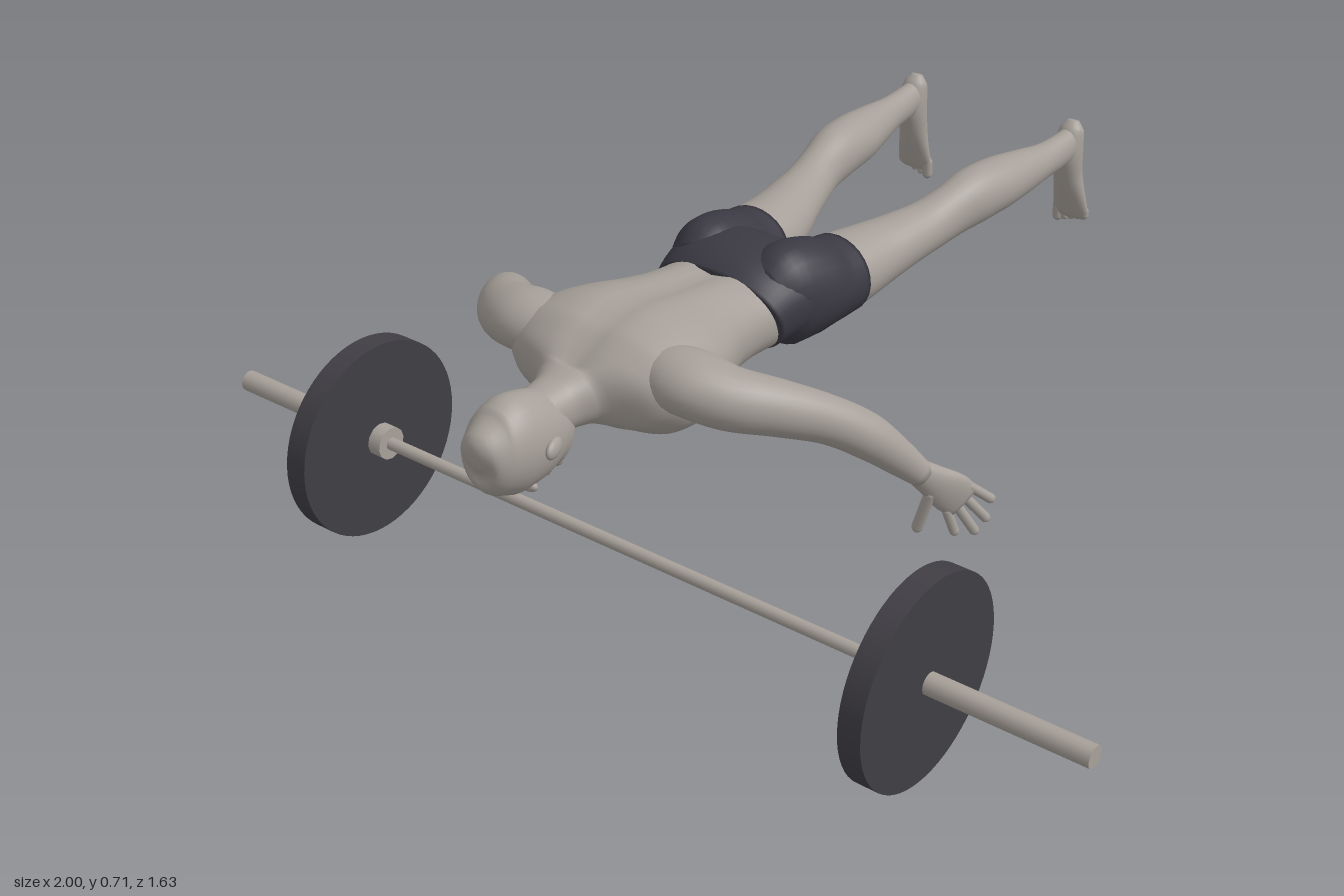
import * as THREE from 'three';

const mat = (name, color) => Object.assign(new THREE.MeshStandardMaterial({ color }), { name });
const skin = mat('skin', 0xa69f99);
const cloth = mat('shorts cloth', 0x3b3943);
const rubber = mat('plate rubber', 0x403e44);
const steel = mat('bar steel', 0xa8a19a);

const v3 = (a) => new THREE.Vector3(a[0], a[1], a[2]);
const UP = [0, 1, 0];

function add(group, name, geometry, material) {
  const mesh = new THREE.Mesh(geometry, material);
  mesh.name = name;
  group.add(mesh);
  return mesh;
}

// Smooth closed skin over keys [x, y, z, halfWidth, halfHeight]; height runs along ref.
function loft(keys, { ref = UP, side = 1, n = 28, per = 5, power = 2, warp } = {}) {
  const path = new THREE.CatmullRomCurve3(keys.map((k) => new THREE.Vector3(k[0] * side, k[1], k[2])));
  const size = new THREE.CatmullRomCurve3(keys.map((k) => new THREE.Vector3(k[3], k[4], 0)));
  const r = new THREE.Vector3(ref[0] * side, ref[1], ref[2]);
  const steps = (keys.length - 1) * per;
  const pos = [], index = [];
  const put = (p) => { if (warp) warp(p); pos.push(p.x, p.y, p.z); };
  const round = (c) => Math.sign(c) * Math.abs(c) ** (2 / power);
  for (let i = 0; i <= steps; i++) {
    const t = i / steps, c = path.getPoint(t), s = size.getPoint(t), T = path.getTangent(t);
    const U = r.clone().cross(T).normalize(), V = T.clone().cross(U);
    for (let j = 0; j < n; j++) {
      const a = (j / n) * Math.PI * 2;
      put(c.clone().addScaledVector(U, s.x * round(Math.cos(a))).addScaledVector(V, s.y * round(Math.sin(a))));
      if (i < steps) {
        const k = i * n + j, l = i * n + ((j + 1) % n);
        index.push(k, l, k + n, l, l + n, k + n);
      }
    }
  }
  put(path.getPoint(0));
  put(path.getPoint(1));
  const p0 = (steps + 1) * n;
  for (let j = 0; j < n; j++) {
    const l = (j + 1) % n;
    index.push(p0, l, j, p0 + 1, steps * n + j, steps * n + l);
  }
  const g = new THREE.BufferGeometry();
  g.setAttribute('position', new THREE.Float32BufferAttribute(pos, 3));
  g.setIndex(index);
  g.computeVertexNormals();
  return g;
}

// Rounded rod between two points, for fingers and toes
function digit(group, name, from, to, radius, side) {
  const a = v3(from), b = v3(to);
  a.x *= side; b.x *= side;
  const d = b.clone().sub(a);
  const mesh = add(group, name, new THREE.CapsuleGeometry(radius, d.length() - radius, 4, 10), skin);
  mesh.position.copy(a).lerp(b, 0.5);
  mesh.quaternion.setFromUnitVectors(v3(UP), d.normalize());
}

function ball(group, name, p, scale, material = skin) {
  const mesh = add(group, name, new THREE.SphereGeometry(1, 20, 14), material);
  mesh.position.set(...p);
  mesh.scale.set(...scale);
  return mesh;
}

function buildTrunk(body) {
  // Neck, back and chest, with a furrow along the spine
  add(body, 'torso', loft([
    [0, 0.6, 0.68, 0.045, 0.045], [0, 0.6, 0.61, 0.052, 0.05], [0, 0.603, 0.57, 0.075, 0.057],
    [0, 0.606, 0.535, 0.16, 0.075], [0, 0.608, 0.49, 0.205, 0.1], [0, 0.606, 0.44, 0.205, 0.111],
    [0, 0.601, 0.38, 0.188, 0.111], [0, 0.597, 0.32, 0.163, 0.102], [0, 0.594, 0.25, 0.138, 0.092],
    [0, 0.59, 0.19, 0.133, 0.086], [0, 0.586, 0.13, 0.14, 0.08],
  ], {
    n: 48, power: 2.25,
    warp: (p) => { if (p.y > 0.62 && p.z < 0.57) p.y -= 0.013 * Math.exp(-((p.x / 0.03) ** 2)); },
  }), skin);
  add(body, 'shortsSeat', loft([
    [0, 0.587, 0.153, 0.146, 0.084], [0, 0.598, 0.11, 0.156, 0.095], [0, 0.602, 0.06, 0.168, 0.094],
    [0, 0.598, 0.01, 0.172, 0.08], [0, 0.595, -0.02, 0.13, 0.05],
  ], { n: 48, power: 2.2 }), cloth);
}

function buildHead(body) {
  const head = new THREE.Group();
  head.name = 'head';
  body.add(head);
  add(head, 'skull', loft([
    [0, 0.585, 0.815, 0.012, 0.015], [0, 0.587, 0.803, 0.04, 0.048], [0, 0.582, 0.772, 0.06, 0.079],
    [0, 0.578, 0.73, 0.067, 0.092], [0, 0.572, 0.69, 0.066, 0.087], [0, 0.562, 0.65, 0.059, 0.078],
    [0, 0.545, 0.62, 0.047, 0.06], [0, 0.535, 0.6, 0.03, 0.036],
  ], { n: 32 }), skin);
  ball(head, 'nose', [0, 0.488, 0.69], [0.012, 0.021, 0.02]);
  ball(head, 'mouth', [0, 0.488, 0.652], [0.02, 0.01, 0.009]);
  ball(head, 'chin', [0, 0.5, 0.623], [0.024, 0.018, 0.016]);
  for (const s of [1, -1]) {
    ball(head, 'ear', [s * 0.067, 0.575, 0.69], [0.01, 0.018, 0.027]).rotation.y = s * 0.3;
    ball(head, 'brow', [s * 0.025, 0.499, 0.715], [0.022, 0.012, 0.01]);
  }
}

function buildArm(body, side) {
  const arm = new THREE.Group();
  arm.name = side > 0 ? 'leftArm' : 'rightArm';
  body.add(arm);
  add(arm, 'upperArmAndForearm', loft([
    [0.1, 0.635, 0.465, 0.05, 0.05], [0.18, 0.638, 0.465, 0.07, 0.057], [0.25, 0.62, 0.442, 0.06, 0.056],
    [0.31, 0.598, 0.39, 0.05, 0.051], [0.37, 0.56, 0.318, 0.042, 0.044], [0.41, 0.515, 0.262, 0.041, 0.042],
    [0.448, 0.458, 0.212, 0.029, 0.033], [0.475, 0.412, 0.175, 0.02, 0.024],
  ], { side }), skin);
  const spread = [0.035, 0.065, -0.05];
  add(arm, 'palm', loft([
    [0.462, 0.432, 0.193, 0.019, 0.022], [0.485, 0.398, 0.16, 0.018, 0.031],
    [0.508, 0.365, 0.13, 0.015, 0.04], [0.524, 0.342, 0.112, 0.009, 0.036],
  ], { side, ref: spread, n: 20 }), skin);
  const tips = [[0.515, 0.276, 0.122], [0.54, 0.272, 0.092], [0.55, 0.293, 0.071], [0.554, 0.332, 0.062]];
  tips.forEach((tip, i) => {
    const k = (i - 1.5) * 0.22;
    const base = [0.515, 0.352, 0.12].map((c, a) => c + spread[a] * k);
    digit(arm, 'finger', base, tip, 0.0095, side);
  });
  digit(arm, 'thumb', [0.487, 0.375, 0.165], [0.462, 0.288, 0.168], 0.011, side);
}

function buildLeg(body, side) {
  const leg = new THREE.Group();
  leg.name = side > 0 ? 'leftLeg' : 'rightLeg';
  body.add(leg);
  add(leg, 'shortsLeg', loft([
    [0.08, 0.6, 0.125, 0.055, 0.075], [0.086, 0.604, 0.07, 0.079, 0.102], [0.092, 0.598, 0.01, 0.086, 0.095],
    [0.096, 0.59, -0.04, 0.085, 0.082], [0.099, 0.587, -0.085, 0.083, 0.077],
  ], { side }), cloth);
  add(leg, 'thighAndCalf', loft([
    [0.094, 0.59, -0.03, 0.078, 0.076], [0.1, 0.587, -0.1, 0.079, 0.073], [0.113, 0.59, -0.18, 0.069, 0.063],
    [0.126, 0.595, -0.24, 0.06, 0.056], [0.143, 0.602, -0.32, 0.05, 0.051], [0.155, 0.612, -0.38, 0.046, 0.053],
    [0.165, 0.622, -0.45, 0.052, 0.058], [0.172, 0.622, -0.52, 0.053, 0.055], [0.181, 0.619, -0.6, 0.043, 0.047],
    [0.189, 0.617, -0.68, 0.031, 0.037], [0.192, 0.618, -0.74, 0.027, 0.036], [0.193, 0.622, -0.785, 0.025, 0.036],
  ], { side }), skin);
  // The foot hangs down with its sole facing back
  add(leg, 'foot', loft([
    [0.193, 0.668, -0.79, 0.012, 0.01], [0.193, 0.65, -0.784, 0.026, 0.023], [0.193, 0.605, -0.775, 0.03, 0.033],
    [0.193, 0.55, -0.781, 0.031, 0.027], [0.195, 0.5, -0.789, 0.037, 0.019], [0.196, 0.46, -0.797, 0.041, 0.013],
    [0.196, 0.448, -0.799, 0.036, 0.009],
  ], { side, ref: [0, 0, 1], n: 22 }), skin);
  for (let i = 0; i < 5; i++) {
    const x = 0.165 + i * 0.016, r = i ? 0.0085 : 0.011;
    digit(leg, 'toe', [x, 0.47, -0.798], [x, 0.432 + i * 0.005, -0.799], r, side);
  }
}

function buildBarbell() {
  const barbell = new THREE.Group();
  barbell.name = 'barbell';
  barbell.position.set(0, 0.205, 0.44);
  const rod = (name, x0, x1, radius, sides, material) => {
    const g = new THREE.CylinderGeometry(radius, radius, x1 - x0, sides).rotateZ(Math.PI / 2);
    add(barbell, name, g, material).position.x = (x0 + x1) / 2;
  };
  rod('bar', -0.62, 0.62, 0.013, 12, steel);
  for (const s of [1, -1]) {
    const pair = (name, a, b, r, n, m) => rod(name, Math.min(a * s, b * s), Math.max(a * s, b * s), r, n, m);
    pair('collar', 0.597, 0.627, 0.034, 12, steel);
    pair('plate', 0.627, 0.674, 0.205, 64, rubber);
    pair('sleeve', 0.62, 1, 0.022, 12, steel);
  }
  return barbell;
}

export function createModel() {
  const model = new THREE.Group();
  model.name = 'athleteWithBarbell';
  const body = new THREE.Group();
  body.name = 'athlete';
  buildTrunk(body);
  buildHead(body);
  for (const side of [1, -1]) {
    buildArm(body, side);
    buildLeg(body, side);
  }
  model.add(body, buildBarbell());
  return model;
}
